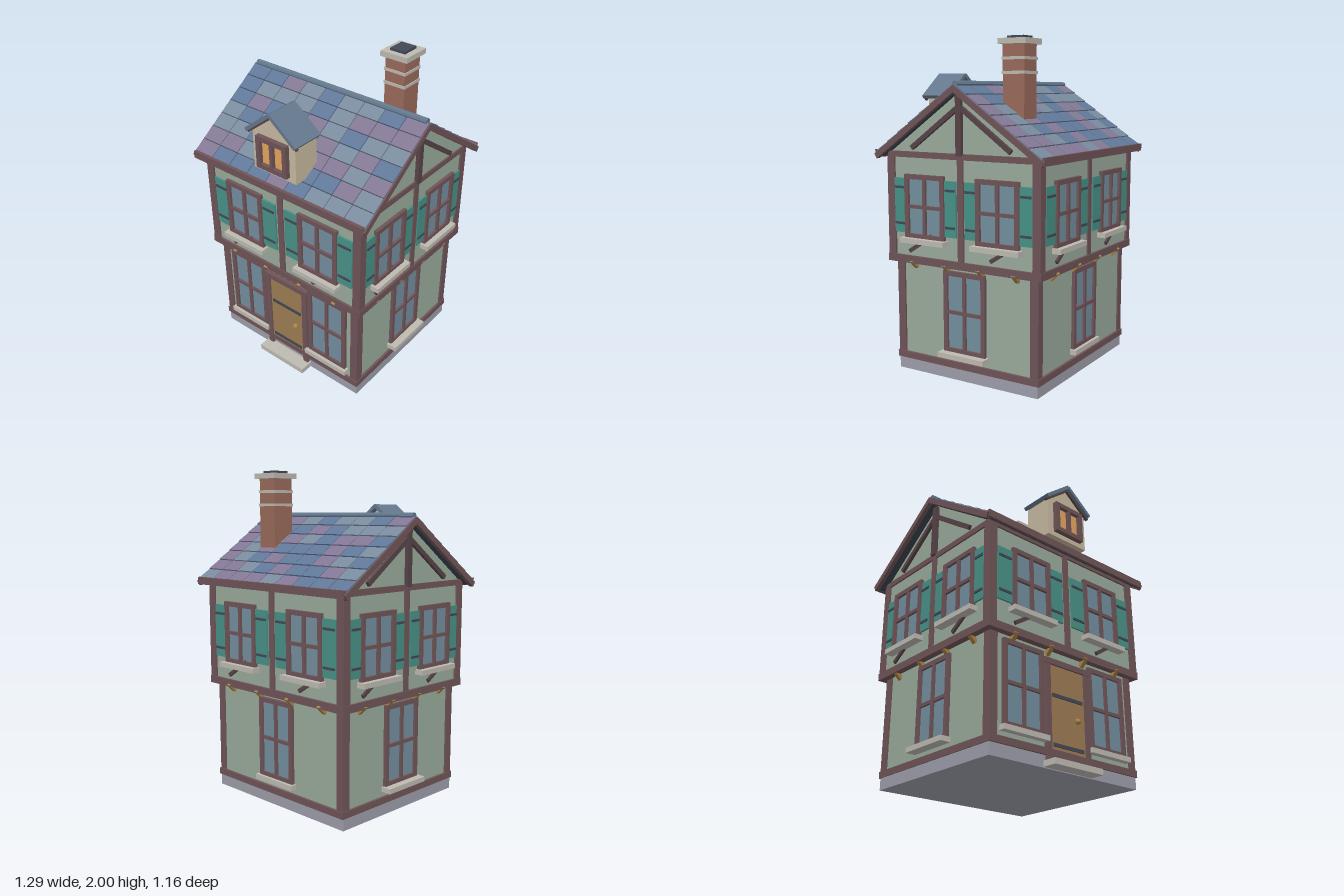
import * as THREE from 'three';

const mat = (color) => new THREE.MeshStandardMaterial({ color, flatShading: true });
const M = {
  wall: mat(0x99aa9b), timber: mat(0x6f5457), darkTimber: mat(0x574347), stone: mat(0x9d9daa),
  sill: mat(0xbdbab1), glass: mat(0x738e9e), teal: mat(0x479186), iron: mat(0x434857),
  door: mat(0x9d7c53), gold: mat(0xa98445), slab: mat(0x38434f), ridge: mat(0x64788d),
  cream: mat(0xc6b99f), amber: mat(0xe3a55f), brick: mat(0x99695b),
};
const TILES = [mat(0x61789a), mat(0x7a8b9f), mat(0x827895)];

function add(parent, name, geometry, material, x = 0, y = 0, z = 0) {
  const mesh = new THREE.Mesh(geometry, material);
  mesh.name = name;
  mesh.position.set(x, y, z);
  parent.add(mesh);
  return mesh;
}
const box = (parent, name, material, w, h, d, x, y, z) =>
  add(parent, name, new THREE.BoxGeometry(w, h, d), material, x, y, z);

function group(parent, name, rotY = 0) {
  const g = new THREE.Group();
  g.name = name;
  g.rotation.y = rotY;
  parent.add(g);
  return g;
}

const polygon = (pts) => new THREE.Shape(pts.map(([x, y]) => new THREE.Vector2(x, y)));
const rect = (x0, y0, x1, y1) => [[x0, y0], [x1, y0], [x1, y1], [x0, y1]];
const extrude = (shape, depth) => new THREE.ExtrudeGeometry(shape, { depth, bevelEnabled: false });

// Straight timber between two points of a facade
function beam(parent, name, material, x0, y0, x1, y1, thick, depth, z) {
  const b = box(parent, name, material, Math.hypot(x1 - x0, y1 - y0), thick, depth, (x0 + x1) / 2, (y0 + y1) / 2, z);
  b.rotation.z = Math.atan2(y1 - y0, x1 - x0);
  return b;
}

// Framed window with panes cut out of the frame; z is the wall surface
function windowUnit(parent, x, y, z, w, h, rows, glass, proud) {
  const g = group(parent, 'window');
  g.position.set(x, y, z);
  const edge = 0.028, bar = 0.02;
  const frame = polygon(rect(-w / 2, -h / 2, w / 2, h / 2));
  const pw = (w - 2 * edge - bar) / 2, ph = (h - 2 * edge - bar * (rows - 1)) / rows;
  for (let c = 0; c < 2; c++) for (let r = 0; r < rows; r++) {
    const px = -w / 2 + edge + c * (pw + bar), py = -h / 2 + edge + r * (ph + bar);
    frame.holes.push(polygon(rect(px, py, px + pw, py + ph)));
  }
  add(g, 'windowFrame', extrude(frame, proud + 0.01), M.timber, 0, 0, -0.01);
  box(g, 'windowGlass', glass, w - 0.02, h - 0.02, 0.012, 0, 0, 0);
  return g;
}

function sill(parent, x, y, z, reach) {
  box(parent, 'windowSill', M.sill, 0.32, 0.03, reach, x, y, z + reach / 2);
}

function shutter(parent, x, z, w) {
  box(parent, 'shutter', M.teal, w, 0.325, 0.014, x, 1.022, z + 0.005);
  for (const y of [1.13, 0.915]) box(parent, 'shutterStrap', M.iron, w * 0.85, 0.014, 0.008, x, y, z + 0.014);
}

// One side of the house, drawn facing +z and turned into place
function facade(house, name, rotY, lowHalf, lowZ, upHalf, upZ, lowWindows, winX, shutterW, corbels, reach) {
  const f = group(house, name, rotY);
  for (const x of lowWindows) {
    windowUnit(f, x, 0.41, lowZ, 0.29, 0.49, 2, M.glass, 0.02);
    sill(f, x, 0.155, lowZ, reach);
  }
  box(f, 'baseBeam', M.timber, 2 * lowHalf + 0.03, 0.04, 0.03, 0, 0.09, lowZ);
  box(f, 'floorBeam', M.timber, 2 * upHalf + 0.03, 0.045, 0.04, 0, 0.70, upZ - 0.005);
  box(f, 'topBeam', M.timber, 2 * upHalf + 0.02, 0.035, 0.03, 0, 1.325, upZ - 0.005);
  box(f, 'middlePost', M.timber, 0.04, 0.6, 0.03, 0, 1.02, upZ - 0.005);
  for (const s of [-1, 1]) {
    const x = s * winX;
    windowUnit(f, x, 1.02, upZ, 0.285, 0.38, 2, M.glass, 0.022);
    sill(f, x, 0.82, upZ, 0.055);
    for (const t of [-1, 1]) shutter(f, x + t * (0.1425 + shutterW / 2), upZ, shutterW);
    const bx = x + s * 0.035;
    beam(f, 'brace', M.darkTimber, bx - 0.085, 0.75, bx + 0.08, 0.855, 0.022, 0.02, upZ + 0.004);
  }
  for (const x of corbels) for (const s of [-1, 1]) {
    const c = box(f, 'corbel', M.gold, 0.026, 0.065, 0.024, s * x, 0.672, lowZ + 0.022);
    c.rotation.x = Math.PI / 4;
  }
  return f;
}

// Roof slope: local z runs from the ridge down to the eave
const PITCH = Math.atan2(0.4, 0.577), SLOPE = 0.70, COLS = 9, ROWS = 7;
function roofSlope(house, name, rotY, seed) {
  const turn = group(house, name, rotY);
  const s = group(turn, 'slope');
  s.position.y = 1.72;
  s.rotation.x = PITCH;
  box(s, 'roofDeck', M.slab, 1.27, 0.022, SLOPE, 0, -0.011, SLOPE / 2);
  const w = 1.28 / COLS, d = (SLOPE - 0.02) / ROWS;
  for (let r = 0; r < ROWS; r++) for (let c = 0; c < COLS; c++) {
    const tile = box(s, 'roofTile', TILES[(c * 5 + r * 7 + ((c * c + 3 * r * c + r * seed) % 5)) % 3],
      w - 0.006, 0.012, d - 0.004, (c - (COLS - 1) / 2) * w, 0.006, (r + 0.5) * d);
    tile.rotation.x = -0.05;
  }
  for (const x of [-0.632, 0.632]) box(s, 'bargeBoard', M.timber, 0.026, 0.034, SLOPE, x, -0.012, SLOPE / 2);
  box(turn, 'eaveBeam', M.timber, 1.27, 0.045, 0.022, 0, 1.328, 0.567);
}

function dormer(house) {
  const g = group(house, 'dormer');
  box(g, 'dormerBody', M.cream, 0.31, 0.245, 0.175, 0, 1.5325, 0.4575);
  add(g, 'dormerGable', extrude(polygon([[-0.155, 1.65], [0.155, 1.65], [0, 1.772]]), 0.145), M.cream, 0, 0, 0.4);
  windowUnit(g, 0, 1.54, 0.545, 0.22, 0.2, 1, M.amber, 0.03);
  for (const s of [-1, 1]) {
    beam(g, 'dormerRoof', M.ridge, 0, 1.793, s * 0.18, 1.652, 0.022, 0.208, 0.472);
    beam(g, 'dormerBargeBoard', M.darkTimber, 0, 1.775, s * 0.178, 1.636, 0.014, 0.015, 0.552);
  }
}

function chimney(house) {
  const g = group(house, 'chimney');
  g.position.set(0.297, 0, -0.218);
  box(g, 'chimneyStack', M.brick, 0.136, 0.51, 0.142, 0, 1.705, 0);
  for (const y of [1.795, 1.875]) box(g, 'chimneyBand', M.sill, 0.146, 0.017, 0.152, 0, y, 0);
  box(g, 'chimneyCap', M.sill, 0.18, 0.032, 0.186, 0, 1.969, 0);
  box(g, 'flue', M.iron, 0.1, 0.03, 0.11, 0, 1.985, 0);
}

function frontDoor(front) {
  const g = group(front, 'door');
  g.position.z = 0.485;
  box(g, 'doorLeaf', M.door, 0.26, 0.485, 0.02, 0, 0.35, 0.005);
  for (const s of [-1, 1]) box(g, 'doorPost', M.timber, 0.036, 0.57, 0.035, s * 0.148, 0.315, 0.006);
  box(g, 'doorLintel', M.timber, 0.345, 0.034, 0.04, 0, 0.608, 0.007);
  for (const y of [0.415, 0.135]) box(g, 'doorStrap', M.iron, 0.23, 0.02, 0.008, 0, y, 0.017);
  add(g, 'doorKnob', new THREE.SphereGeometry(0.017, 12, 8), M.gold, 0.072, 0.3, 0.022);
  box(g, 'doorStep', M.sill, 0.36, 0.034, 0.1, 0, 0.022, 0.042);
}

export function createModel() {
  const house = new THREE.Group();
  house.name = 'house';

  // Storeys and corner posts
  box(house, 'foundation', M.stone, 1.1, 0.075, 0.98, 0, 0.0375, 0);
  box(house, 'lowerWalls', M.wall, 1.08, 0.63, 0.97, 0, 0.385, 0);
  box(house, 'upperWalls', M.wall, 1.15, 0.64, 1.03, 0, 1.01, 0);
  for (const sx of [-1, 1]) for (const sz of [-1, 1]) {
    box(house, 'lowerPost', M.timber, 0.052, 0.61, 0.052, sx * 0.525, 0.385, sz * 0.467);
    box(house, 'upperPost', M.timber, 0.052, 0.62, 0.052, sx * 0.561, 1.01, sz * 0.501);
  }

  // Four sides
  const long = [0.54, 0.485, 0.575, 0.515], short = [0.485, 0.54, 0.515, 0.575];
  const front = facade(house, 'front', 0, ...long, [-0.32, 0.32], 0.282, 0.104, [0.135, 0.4], 0.04);
  facade(house, 'back', Math.PI, ...long, [0], 0.282, 0.104, [0.135, 0.4], 0.04);
  const sides = [
    facade(house, 'leftSide', Math.PI / 2, ...short, [0], 0.252, 0.08, [0.12, 0.355], 0.065),
    facade(house, 'rightSide', -Math.PI / 2, ...short, [0], 0.252, 0.08, [0.12, 0.355], 0.065),
  ];
  frontDoor(front);

  // Gables with their trusses
  const gable = polygon([[-0.515, 1.31], [0.515, 1.31], [0.515, 1.33], [0, 1.69], [-0.515, 1.33]]);
  const attic = add(house, 'gableWalls', extrude(gable, 1.15), M.wall, -0.575, 0, 0);
  attic.rotation.y = Math.PI / 2;
  for (const f of sides) {
    box(f, 'kingPost', M.darkTimber, 0.036, 0.34, 0.04, 0, 1.5, 0.58);
    for (const s of [-1, 1]) beam(f, 'gableStrut', M.darkTimber, s * 0.34, 1.365, 0, 1.608, 0.028, 0.03, 0.58);
  }

  // Roof
  roofSlope(house, 'frontRoof', 0, 2);
  roofSlope(house, 'backRoof', Math.PI, 4);
  const ridge = add(house, 'ridgeCap', new THREE.CylinderGeometry(0.019, 0.019, 1.25, 8), M.ridge, 0, 1.73, 0);
  ridge.rotation.z = Math.PI / 2;
  dormer(house);
  chimney(house);
  return house;
}
